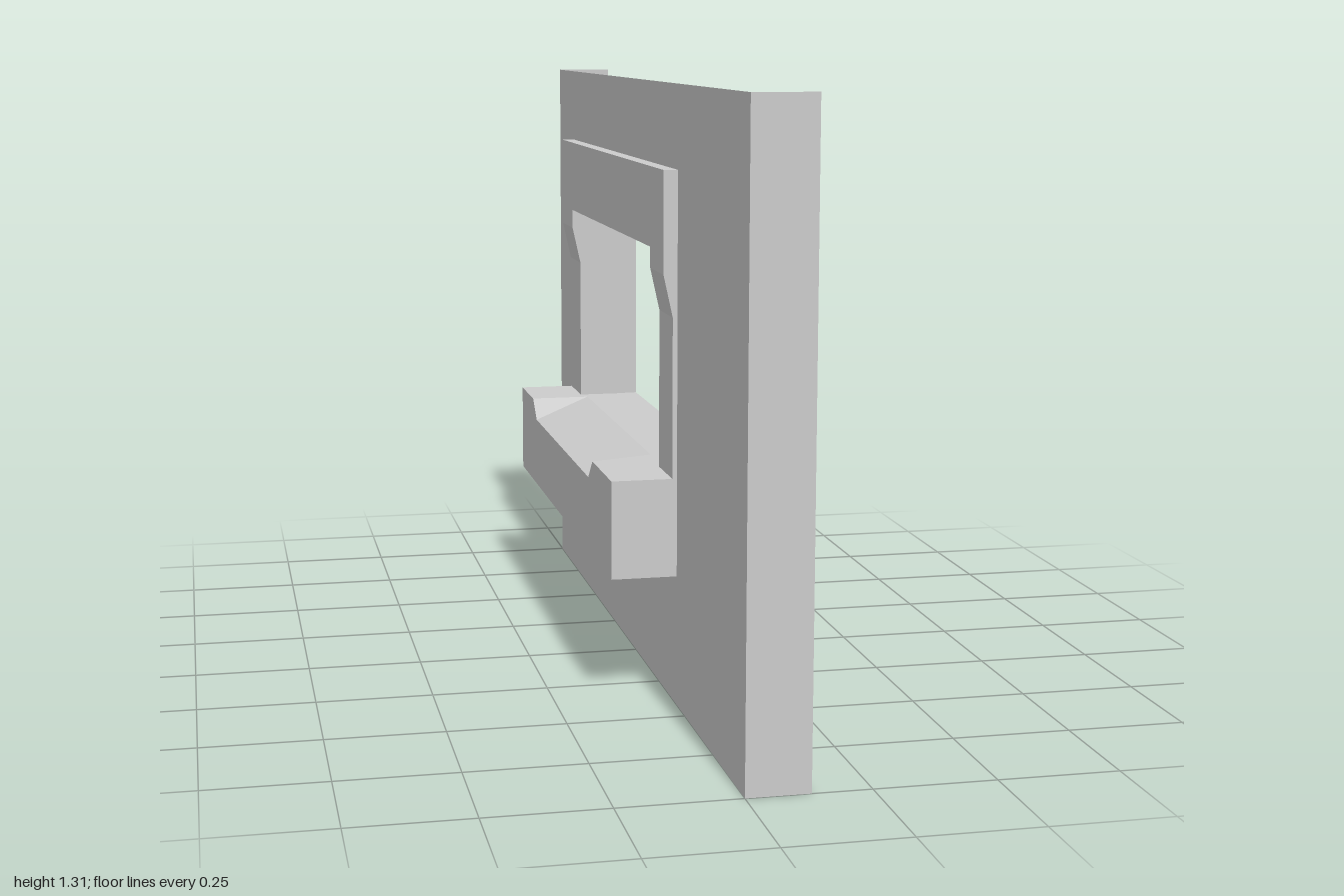
import * as THREE from 'three';

const matte = new THREE.MeshStandardMaterial({ color: 0xcccccc, flatShading: true });
const sheet = new THREE.MeshStandardMaterial({ color: 0xcccccc, flatShading: true, side: THREE.DoubleSide });

// Window opening and surround extents along z and y
const open = { z0: -0.65, z1: 0.29, y0: 0.49, y1: 0.965 };
const trim = { z0: -0.79, z1: 0.42, top: 1.135 };

function quads(list) {
  const pos = [];
  for (const [a, b, c, d] of list) pos.push(...a, ...b, ...c, ...a, ...c, ...d);
  const geo = new THREE.BufferGeometry();
  geo.setAttribute('position', new THREE.Float32BufferAttribute(pos, 3));
  geo.computeVertexNormals();
  return geo;
}

// Thin wall swept along x from a line of [z, y] points
function strip(points, x0, x1) {
  const list = [];
  for (let i = 0; i < points.length - 1; i++) {
    const [za, ya] = points[i], [zb, yb] = points[i + 1];
    list.push([[x0, ya, za], [x1, ya, za], [x1, yb, zb], [x0, yb, zb]]);
  }
  return quads(list);
}

// Sill block with a sloping runoff cut into its top
function sillGeometry() {
  const xf = -0.14, yb = 0.28, yt = open.y0, low = 0.445;
  const front = [[trim.z0, yt], [-0.615, yt], [-0.56, low], [0.155, low], [0.205, yt], [trim.z1, yt]];
  const backZ = [trim.z0, -0.615, -0.615, 0.155, 0.155, trim.z1];
  const f = front.map(([z, y]) => [xf, y, z]);
  const b = backZ.map((z) => [0, yt, z]);
  const d = front.map(([z]) => [xf, yb, z]);
  const e = front.map(([z]) => [0, yb, z]);
  const n = front.length - 1;
  const list = [[f[0], b[0], e[0], d[0]], [f[n], d[n], e[n], b[n]], [d[0], e[0], e[n], d[n]]];
  for (let i = 0; i < n; i++) {
    list.push([f[i], f[i + 1], b[i + 1], b[i]], [f[i], d[i], d[i + 1], f[i + 1]]);
  }
  return quads(list);
}

export function createModel() {
  const group = new THREE.Group();
  const add = (name, geo, mat = matte) => {
    const mesh = new THREE.Mesh(geo, mat);
    mesh.name = name;
    group.add(mesh);
    return mesh;
  };

  // Wall sheet with the window opening
  const { z0, z1, y0, y1 } = open;
  const wall = new THREE.Shape([[-1, 0], [1, 0], [1, 1.31], [-1, 1.31]].map((p) => new THREE.Vector2(...p)));
  wall.holes.push(new THREE.Path([[z0, y0], [z0, y1], [z1, y1], [z1, y0]].map((p) => new THREE.Vector2(...p))));
  add('wallPanel', new THREE.ShapeGeometry(wall).rotateY(-Math.PI / 2), sheet);

  // End returns of the wall
  for (const z of [-1, 1]) add('wallReturn', strip([[z, 0], [z, 1.31]], 0, 0.13), sheet);

  // Outer sleeve around the opening, and the shorter lining whose sides run lower
  const s = 0.006;
  add('windowSleeve', strip([[z0 - s, y0], [z1 + s, y0], [z1 + s, y1 + s], [z0 - s, y1 + s], [z0 - s, y0]], 0, 0.135), sheet);
  add('windowLining', strip([[z0, 0.39], [z0, y1], [z1, y1], [z1, 0.39]], 0, 0.105), sheet);

  // Header trim across the top
  const header = new THREE.BoxGeometry(0.03, trim.top - y1, trim.z1 - trim.z0);
  header.translate(-0.015, (trim.top + y1) / 2, (trim.z0 + trim.z1) / 2);
  add('headerTrim', header);

  // Side trims, thinning toward the sill
  const profile = new THREE.Shape([[0, y0], [0, y1], [-0.03, y1], [-0.03, 0.92], [-0.01, 0.83], [-0.01, y0]]
    .map((p) => new THREE.Vector2(...p)));
  for (const [a, b] of [[trim.z0, z0], [z1, trim.z1]]) {
    const geo = new THREE.ExtrudeGeometry(profile, { depth: b - a, bevelEnabled: false });
    add('sideTrim', geo.translate(0, 0, a));
  }

  add('sill', sillGeometry());
  return group;
}
